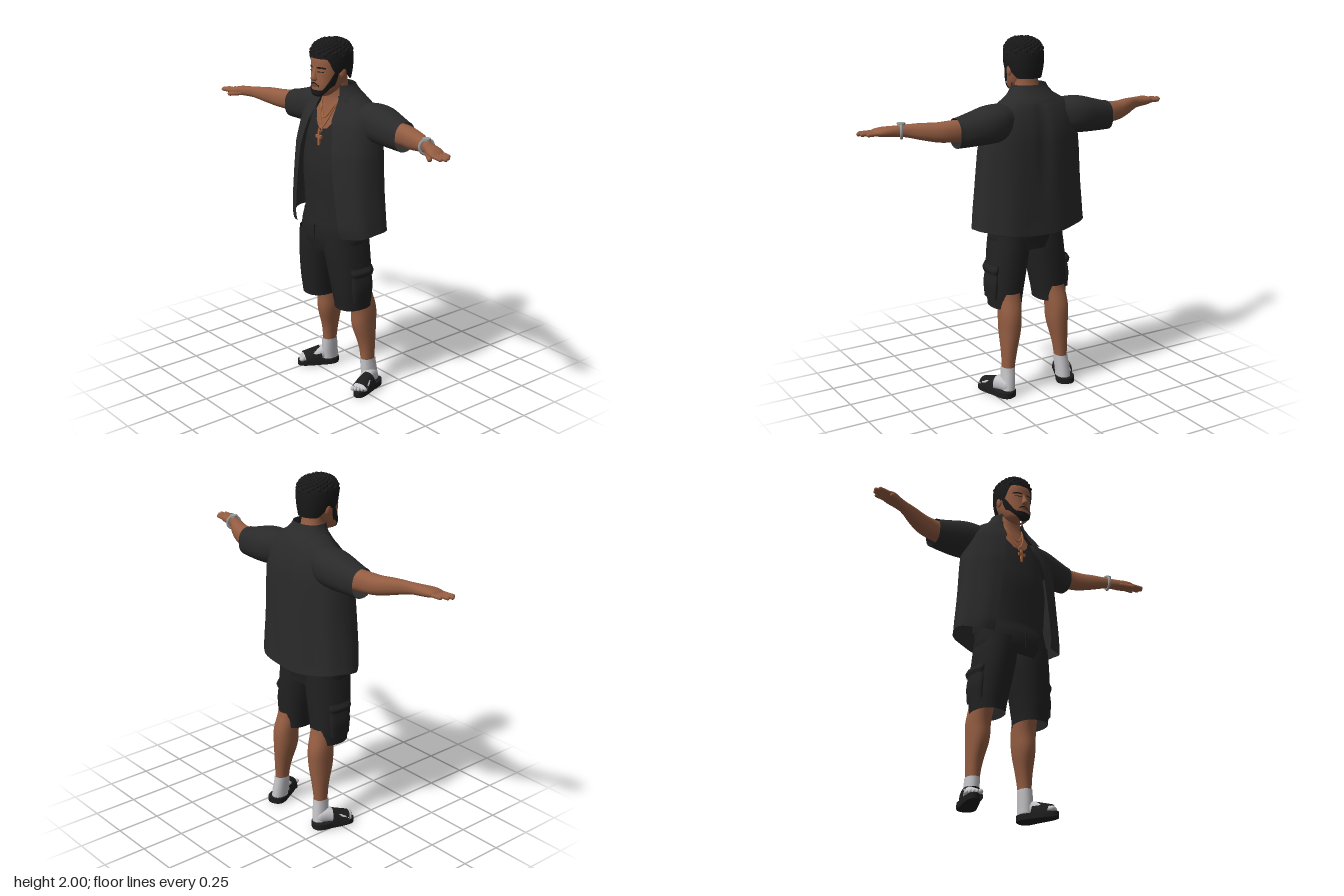
import * as THREE from 'three';
import { mergeVertices, mergeGeometries } from 'three/addons/utils/BufferGeometryUtils.js';

const P = 2.3; // cross-section squareness
const PI = Math.PI;
const step = THREE.MathUtils.smoothstep;
const lerp = THREE.MathUtils.lerp;
const pow = (c) => Math.sign(c) * Math.abs(c) ** (2 / P);

// Catmull-Rom refinement of section rows [t, ca, cb, ra, rb, gap?]
function smooth(rows, k = 6) {
  const out = [], R = (i) => rows[Math.min(rows.length - 1, Math.max(0, i))];
  for (let i = 0; i < rows.length - 1; i++)
    for (let j = 0; j < k; j++) {
      const f = j / k;
      out.push(R(i).map((b, c) => {
        const a = R(i - 1)[c], d = R(i + 1)[c], e = R(i + 2)[c];
        if (c === 0) return lerp(b, d, f);
        return b + 0.5 * f * (d - a + f * (2 * a - 5 * b + 4 * d - e + f * (3 * (b - d) + e - a)));
      }));
    }
  out.push(R(rows.length - 1));
  return out;
}
function at(rows, t) {
  let i = 0;
  while (i < rows.length - 2 && rows[i + 1][0] < t) i++;
  const a = rows[i], b = rows[i + 1];
  const f = THREE.MathUtils.clamp((t - a[0]) / (b[0] - a[0] || 1), 0, 1);
  return a.map((v, c) => lerp(v, b[c], f));
}
// point on a sectioned body by height and angle, or by x on its front
function around(rows, t, th, off = 0) {
  const r = at(rows, t);
  return [r[1] + (Math.max(r[3], 0.001) + off) * pow(Math.cos(th)), t, r[2] + (Math.max(r[4], 0.001) + off) * pow(Math.sin(th))];
}
function front(rows, x, y, off = 0) {
  const r = at(rows, y), k = Math.min(1, Math.abs(x - r[1]) / r[3]);
  return [x, y, r[2] + r[4] * (1 - k ** P) ** (1 / P) + off];
}
// welded surface from a rule f(u, v)
function grid(nu, nv, f) {
  const pos = [], idx = [], w = nu + 1;
  for (let j = 0; j <= nv; j++) for (let i = 0; i <= nu; i++) pos.push(...f(i / nu, j / nv));
  for (let j = 0; j < nv; j++) for (let i = 0; i < nu; i++) {
    const a = j * w + i;
    idx.push(a, a + w, a + 1, a + 1, a + w, a + w + 1);
  }
  let g = new THREE.BufferGeometry();
  g.setAttribute('position', new THREE.Float32BufferAttribute(pos, 3));
  g.setIndex(idx);
  g = mergeVertices(g, 1e-5);
  g.computeVertexNormals();
  return g;
}
const axes = { y: (p) => p, x: ([a, t, b]) => [t, b, a], z: ([a, t, b]) => [b, a, t] };
function loft(rows, axis = 'y', n = 32, m = 28) {
  const r = smooth(rows), t0 = r[0][0], t1 = r[r.length - 1][0];
  return grid(n, m, (u, v) => axes[axis](around(r, lerp(t0, t1, v), u * 2 * PI)));
}
function rod(a, b, r) {
  const A = new THREE.Vector3(...a), B = new THREE.Vector3(...b), d = B.clone().sub(A);
  const g = new THREE.CapsuleGeometry(r, d.length(), 4, 10);
  g.applyQuaternion(new THREE.Quaternion().setFromUnitVectors(new THREE.Vector3(0, 1, 0), d.normalize()));
  return g.translate(...A.add(B).multiplyScalar(0.5).toArray());
}
function ball(x, y, z, sx, sy, sz) {
  return new THREE.SphereGeometry(1, 16, 12).scale(sx, sy, sz).translate(x, y, z);
}
function mirror(geo) {
  const g = geo.index ? geo.clone() : mergeVertices(geo);
  g.scale(-1, 1, 1);
  const a = g.index.array;
  for (let i = 0; i < a.length; i += 3) [a[i], a[i + 1]] = [a[i + 1], a[i]];
  return g;
}

export function createModel() {
  const model = new THREE.Group();
  const mat = (name, color, side = THREE.FrontSide) => Object.assign(new THREE.MeshStandardMaterial({ color, side }), { name });
  const skin = mat('skin', 0x945d42), lip = mat('lips', 0x74422f), hair = mat('hair', 0x191919, THREE.DoubleSide);
  const shirt = mat('shirt', 0x2a2a2b, THREE.DoubleSide), tank = mat('tank top', 0x262627);
  const shorts = mat('shorts', 0x212122, THREE.DoubleSide), sock = mat('socks', 0xc4c4c8);
  const slide = mat('slides', 0x1d1d1e, THREE.DoubleSide), metal = mat('steel', 0x9b9b9b), copper = mat('copper', 0xa3653f);
  const add = (name, geo, m) => {
    const mesh = new THREE.Mesh(geo, m);
    mesh.name = name;
    model.add(mesh);
  };
  const pair = (name, geo, m) => { add(name + 'Left', geo, m); add(name + 'Right', mirror(geo), m); };

  // head
  const head = smooth([[1.695, 0, 0.115, 0.012, 0.015], [1.703, 0, 0.11, 0.04, 0.045], [1.725, 0, 0.093, 0.06, 0.066],
    [1.76, 0, 0.075, 0.074, 0.086], [1.8, 0, 0.06, 0.083, 0.099], [1.85, 0, 0.053, 0.089, 0.105],
    [1.91, 0, 0.05, 0.089, 0.104], [1.96, 0, 0.045, 0.066, 0.08], [1.985, 0, 0.045, 0.005, 0.005]]);
  add('head', grid(40, 40, (u, v) => around(head, lerp(1.695, 1.985, v), u * 2 * PI)), skin);
  add('nose', loft([[1.782, 0, 0.155, 0.008, 0.008], [1.79, 0, 0.155, 0.019, 0.023], [1.803, 0, 0.155, 0.017, 0.027],
    [1.83, 0, 0.153, 0.011, 0.016], [1.86, 0, 0.15, 0.009, 0.008]], 'y', 16, 16), skin);
  pair('ear', ball(0.092, 1.825, 0.04, 0.011, 0.03, 0.021), skin);
  const face = (x0, x1, y0, y1, off = 0.003) => grid(10, 3, (u, v) => {
    const x = lerp(x0, x1, u);
    return front(head, x, lerp(y0(x), y1(x), v), off);
  });
  pair('eyebrow', face(0.065, 0.017, (x) => 1.853 - 3 * (x - 0.04) ** 2, (x) => 1.862 - 5 * (x - 0.04) ** 2), hair);
  pair('eyelid', face(0.058, 0.022, (x) => 1.834 - 3 * (x - 0.04) ** 2, () => 1.838), hair);
  add('lips', face(0.027, -0.027, (x) => 1.752 + 9 * x * x, (x) => 1.768 - 7 * x * x, 0.005), lip);
  add('moustache', face(0.035, -0.035, (x) => 1.77 - 14 * x * x, (x) => 1.777 - 12 * x * x, 0.004), hair);
  add('beard', grid(40, 8, (u, v) => {
    const th = lerp(0.03, 0.97, u) * PI, s = Math.sin(th);
    const low = 1.695 + 0.065 * (1 - step(s, 0.1, 0.8)), high = 1.737 + 0.1 * (1 - step(s, 0.2, 0.8));
    return around(head, lerp(low, high, v), th, 0.005);
  }), hair);

  // hair with short curls
  const crop = smooth([[1.76, 0, 0.045, 0.083, 0.106], [1.85, 0, 0.045, 0.1, 0.116], [1.93, 0, 0.045, 0.1, 0.116],
    [1.97, 0, 0.045, 0.078, 0.094], [1.988, 0, 0.045, 0.045, 0.055], [1.995, 0, 0.045, 0.002, 0.002]]);
  add('hair', grid(48, 20, (u, v) => {
    const th = u * 2 * PI, s = Math.sin(th);
    const hem = 1.785 + 0.045 * step(s, -0.6, 0) + 0.075 * step(s, 0.35, 0.75);
    return around(crop, lerp(hem, 1.995, v), th);
  }), hair);
  const curls = [];
  for (let i = 0; i < 120; i++) {
    const [x, y, z] = around(crop, 1.915 + 0.073 * Math.sqrt(i / 120), i * 2.39996, -0.007);
    curls.push(new THREE.IcosahedronGeometry(0.013, 1).translate(x, y, z));
  }
  add('curls', mergeGeometries(curls), hair);

  // neck, chest and tank top
  const chest = smooth([[1.46, 0, -0.01, 0.2, 0.122], [1.53, 0, -0.015, 0.19, 0.118], [1.62, 0, -0.02, 0.14, 0.097],
    [1.68, 0, -0.01, 0.088, 0.075], [1.73, 0, 0.01, 0.066, 0.06], [1.8, 0, 0.02, 0.064, 0.06]]);
  add('neck', grid(36, 28, (u, v) => around(chest, lerp(1.46, 1.8, v), u * 2 * PI)), skin);
  const top = smooth([[0.99, 0, 0.005, 0.212, 0.135], [1.1, 0, 0.003, 0.22, 0.14], [1.3, 0, 0.003, 0.23, 0.145],
    [1.45, 0, -0.006, 0.215, 0.133], [1.54, 0, -0.015, 0.19, 0.121], [1.6, 0, -0.02, 0.158, 0.108]]);
  add('tankTop', grid(40, 24, (u, v) => {
    const th = u * 2 * PI, x = Math.cos(th);
    return around(top, lerp(0.99, 1.515 + 0.085 * step(Math.abs(x), 0.05, 0.6), v), th);
  }), tank);

  // necklaces and pendant
  [[1.69, 1.575], [1.68, 1.525]].forEach(([y0, y1], i) => {
    const pts = [-1, -0.75, -0.4, 0, 0.4, 0.75, 1].map((k) =>
      new THREE.Vector3(...front(chest, k * 0.072, lerp(y1, y0, Math.abs(k) ** 1.5), 0.006)));
    add('necklace' + i, new THREE.TubeGeometry(new THREE.CatmullRomCurve3(pts), 40, 0.0045, 6), copper);
  });
  add('pendantBar', new THREE.BoxGeometry(0.013, 0.08, 0.012).translate(0, 1.467, 0.132), copper);
  add('pendantArms', new THREE.BoxGeometry(0.045, 0.016, 0.012).translate(0, 1.475, 0.132), copper);
  add('pendantRing', new THREE.TorusGeometry(0.012, 0.005, 6, 16).translate(0, 1.513, 0.122), copper);

  // open shirt
  const coat = smooth([[0.94, 0, -0.012, 0.338, 0.172, 0.195], [1.0, 0, -0.005, 0.333, 0.178, 0.19], [1.2, 0, -0.003, 0.313, 0.179, 0.165],
    [1.4, 0, -0.008, 0.298, 0.173, 0.14], [1.5, 0, -0.018, 0.283, 0.16, 0.12], [1.58, 0, -0.025, 0.265, 0.14, 0.1],
    [1.64, 0, -0.035, 0.225, 0.112, 0.088], [1.68, 0, -0.035, 0.17, 0.092, 0.082], [1.72, 0, -0.02, 0.11, 0.075, 0.07]]);
  const gap = (y) => at(coat, y)[5];
  const open = (rows, y, u, off) => {
    const r = at(rows, y), a = Math.asin((r[5] / r[3]) ** (P / 2));
    return [PI / 2 + a + u * (2 * PI - 2 * a), off];
  };
  add('shirtBody', grid(72, 36, (u, v) => {
    const hem = 0.945 + 0.035 * Math.abs(Math.sin(u * 2 * PI)) ** 2;
    const y = lerp(hem, 1.72, v), th = open(coat, y, u)[0];
    const fold = 0.004 * Math.sin(u * 44) * (1 - v); // soft cloth folds
    const p = around(coat, y, th, fold);
    if (p[2] < 0) p[2] += 0.012 * Math.exp(-((p[0] / 0.03) ** 2)) * step(y, 1.0, 1.5); // spine crease
    return p;
  }), shirt);
  pair('placket', grid(3, 30, (u, v) => {
    const y = lerp(0.95, 1.6, v);
    return front(coat, gap(y) + 0.028 * (1 - u), y, 0.006);
  }), shirt);
  pair('lapel', grid(6, 14, (u, v) => {
    const y = lerp(1.555, 1.7, v), w = 0.075 * step(v, 0, 0.35) * (1 - 0.6 * step(v, 0.35, 1));
    return front(coat, gap(y) - 0.004 + w * (1 - u), y, 0.012);
  }), shirt);
  const band = smooth([[1.665, 0, -0.035, 0.155, 0.1, 0.08], [1.72, 0, -0.02, 0.108, 0.077, 0.07], [1.755, 0, -0.01, 0.088, 0.067, 0.062]]);
  add('collar', grid(48, 8, (u, v) => {
    const y = lerp(1.665, 1.755, v);
    return around(band, y, open(band, y, u)[0], 0.008);
  }), shirt);
  const patch = (y0, y1, off) => grid(8, 8, (u, v) => front(coat, lerp(0.245, 0.15, u), lerp(y0, y1, v), off));
  add('chestPocket', patch(1.35, 1.5, 0.008), shirt);
  add('chestPocketFlap', patch(1.465, 1.505, 0.013), shirt);
  pair('sleeve', loft([[0.15, -0.05, 1.575, 0.085, 0.085], [0.22, -0.06, 1.57, 0.1, 0.1], [0.3, -0.066, 1.565, 0.1, 0.1],
    [0.4, -0.064, 1.55, 0.085, 0.088], [0.475, -0.06, 1.54, 0.07, 0.08]], 'x', 32, 20), shirt);

  // arms and hands
  pair('arm', loft([[0.38, -0.06, 1.55, 0.055, 0.058], [0.5, -0.052, 1.552, 0.05, 0.057], [0.57, -0.035, 1.552, 0.05, 0.052],
    [0.65, -0.005, 1.56, 0.044, 0.044], [0.73, 0.03, 1.566, 0.031, 0.032], [0.78, 0.05, 1.566, 0.036, 0.028],
    [0.83, 0.068, 1.565, 0.046, 0.025], [0.87, 0.08, 1.563, 0.044, 0.017], [0.885, 0.084, 1.562, 0.02, 0.005]], 'x', 24, 40), skin);
  const tips = [[0.915, 0.052], [0.94, 0.079], [0.95, 0.102], [0.935, 0.122]];
  const fingers = tips.map(([x, z], i) => rod([0.855, 1.562, 0.045 + i * 0.022], [x, 1.56, z], 0.0105));
  fingers.push(rod([0.8, 1.556, 0.085], [0.862, 1.546, 0.125], 0.013));
  pair('fingers', mergeGeometries(fingers), skin);
  add('bracelet', new THREE.TorusGeometry(0.037, 0.008, 8, 28).rotateY(PI / 2 - 0.4).translate(0.74, 1.566, 0.034), metal);
  add('braceletFace', new THREE.CylinderGeometry(0.022, 0.022, 0.012, 20).translate(0.74, 1.604, 0.034), metal);

  // cargo shorts
  add('shortsHips', loft([[0.84, 0, 0.03, 0.2, 0.125], [0.9, 0, 0.032, 0.217, 0.136], [0.97, 0, 0.025, 0.215, 0.14],
    [1.03, 0, 0.01, 0.216, 0.137]], 'y', 40, 12), shorts);
  pair('shortsLeg', loft([[0.51, 0.145, 0.012, 0.088, 0.102], [0.6, 0.141, 0.016, 0.097, 0.112], [0.72, 0.128, 0.022, 0.107, 0.122],
    [0.84, 0.112, 0.028, 0.11, 0.13], [0.93, 0.108, 0.03, 0.102, 0.13]], 'y', 32, 20), shorts);
  const pocket = (y, h, w, d) => loft([[y - h / 2, 0.232, 0.015, d * 0.7, w * 0.9], [y, 0.23, 0.015, d, w],
    [y + h / 2, 0.224, 0.015, d * 0.6, w * 0.95]], 'y', 20, 8);
  pair('cargoPocket', pocket(0.65, 0.17, 0.07, 0.024), shorts);
  pair('cargoFlap', pocket(0.735, 0.05, 0.076, 0.028), shorts);
  add('flySeam', new THREE.BoxGeometry(0.008, 0.1, 0.008).translate(0, 0.93, 0.168), shorts);

  // lower legs and socks
  pair('calf', loft([[0.15, 0.174, -0.075, 0.033, 0.04], [0.25, 0.168, -0.073, 0.041, 0.049], [0.38, 0.156, -0.061, 0.056, 0.073],
    [0.48, 0.153, -0.058, 0.061, 0.075], [0.6, 0.145, -0.03, 0.062, 0.072]], 'y', 28, 24), skin);
  pair('sockAnkle', loft([[0.04, 0.185, -0.085, 0.038, 0.05], [0.1, 0.18, -0.08, 0.037, 0.049], [0.172, 0.175, -0.075, 0.037, 0.045]], 'y', 24, 10), sock);

  // feet in slides, turned outward
  const place = (g) => g.rotateY(0.4).translate(0.226, 0, -0.025);
  pair('sockFoot', place(loft([[-0.112, 0.06, -0.004, 0.012, 0.015], [-0.09, 0.065, -0.006, 0.035, 0.034], [-0.03, 0.068, -0.006, 0.042, 0.038],
    [0.03, 0.058, 0, 0.034, 0.043], [0.085, 0.048, 0.002, 0.021, 0.043], [0.098, 0.045, 0.002, 0.012, 0.035]], 'z', 24, 24)), sock);
  const toes = [0, 1, 2, 3, 4].map((i) => ball(-0.033 + i * 0.0175, 0.047, 0.103 - i * i * 0.0017, i ? 0.01 : 0.014, 0.014, 0.017));
  pair('toes', place(mergeGeometries(toes)), sock);
  const outline = new THREE.Shape();
  outline.moveTo(0, 0.118);
  outline.bezierCurveTo(0.038, 0.118, 0.035, 0.02, 0.04, -0.03);
  outline.bezierCurveTo(0.055, -0.09, 0.045, -0.122, 0, -0.122);
  outline.bezierCurveTo(-0.05, -0.122, -0.052, -0.08, -0.045, -0.03);
  outline.bezierCurveTo(-0.038, 0.03, -0.04, 0.118, 0, 0.118);
  const sole = new THREE.ExtrudeGeometry(outline, { depth: 0.028, bevelSize: 0.005, bevelThickness: 0.005, bevelSegments: 2, curveSegments: 16 });
  pair('slideSole', place(sole.rotateX(PI / 2).translate(0, 0.033, 0)), slide);
  pair('slideStrap', place(grid(20, 8, (u, v) => {
    const a = PI * (1 - u), z = lerp(-0.02, 0.078, v);
    return [0.052 * pow(Math.cos(a)), 0.02 + lerp(0.087, 0.058, v) * pow(Math.sin(a)), z + 0.012 * Math.sin(a)];
  })), slide);
  return model;
}
